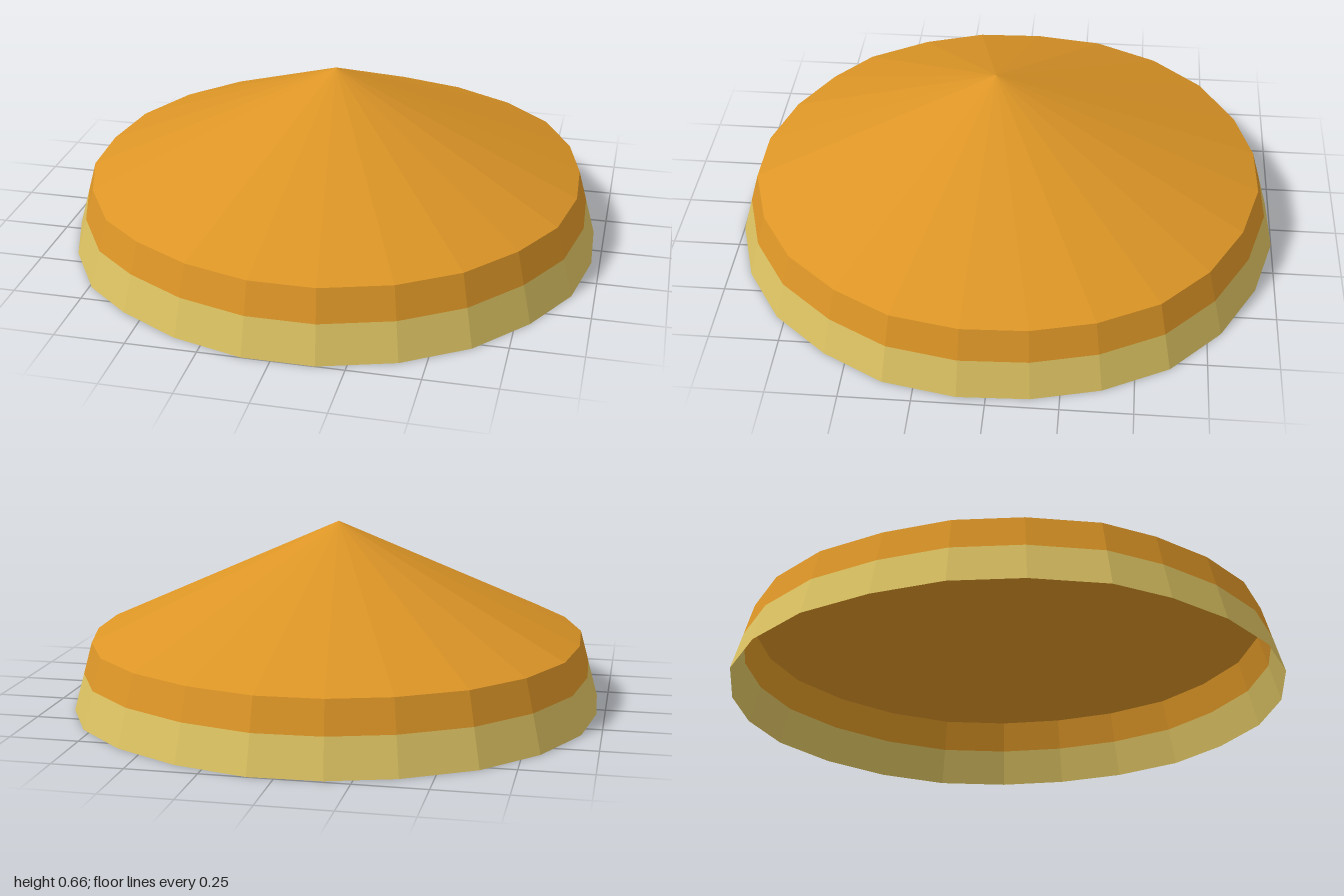
import * as THREE from 'three';

// Hand-cut rim outline at ground level, [x, z], clockwise from above
const RIM = [
  [-0.16, -0.99], [0.09, -1], [0.35, -0.93], [0.59, -0.8], [0.78, -0.62], [0.9, -0.39],
  [0.96, -0.15], [0.97, 0.1], [0.92, 0.36], [0.8, 0.58], [0.63, 0.78], [0.41, 0.92],
  [0.15, 1], [-0.1, 1], [-0.35, 0.93], [-0.57, 0.81], [-0.74, 0.67], [-0.88, 0.44],
  [-0.96, 0.2], [-0.97, -0.06], [-0.93, -0.33], [-0.81, -0.58], [-0.63, -0.78], [-0.39, -0.92],
];
const EAVES = 0.25; // height where the skirt meets the cone
const BAND = 0.135; // height of the colour change on the skirt
const TAPER = 0.07; // how far the skirt narrows by the eaves
const APEX = [0.005, 0.66, 0.045];

// Rim outline raised to height y along the sloping skirt
function ring(y) {
  const s = 1 - TAPER * (y / EAVES);
  return RIM.map(([x, z]) => [x * s, y, z * s]);
}

// Faceted surface between two rings; a ring may shrink to a single point
function loft(lower, upper) {
  const pos = [];
  lower.forEach((a, i) => {
    const j = (i + 1) % lower.length;
    const b = lower[j];
    if (upper.length === 1) pos.push(...b, ...a, ...upper[0]);
    else pos.push(...b, ...a, ...upper[i], ...b, ...upper[i], ...upper[j]);
  });
  const geometry = new THREE.BufferGeometry();
  geometry.setAttribute('position', new THREE.Float32BufferAttribute(pos, 3));
  geometry.computeVertexNormals();
  return geometry;
}

function material(name, color) {
  const m = new THREE.MeshStandardMaterial({ color, side: THREE.DoubleSide, flatShading: true });
  m.name = name;
  return m;
}

export function createModel() {
  const orange = material('orange', 0xdc9526);
  const straw = material('straw yellow', 0xdcc262);
  const group = new THREE.Group();
  group.name = 'canopy';

  const add = (name, geometry, mat) => {
    const mesh = new THREE.Mesh(geometry, mat);
    mesh.name = name;
    group.add(mesh);
  };

  // Open shell: two skirt bands and the cone above them
  add('lowerSkirt', loft(ring(0), ring(BAND)), straw);
  add('upperSkirt', loft(ring(BAND), ring(EAVES)), orange);
  add('coneTop', loft(ring(EAVES), [APEX]), orange);

  return group;
}
